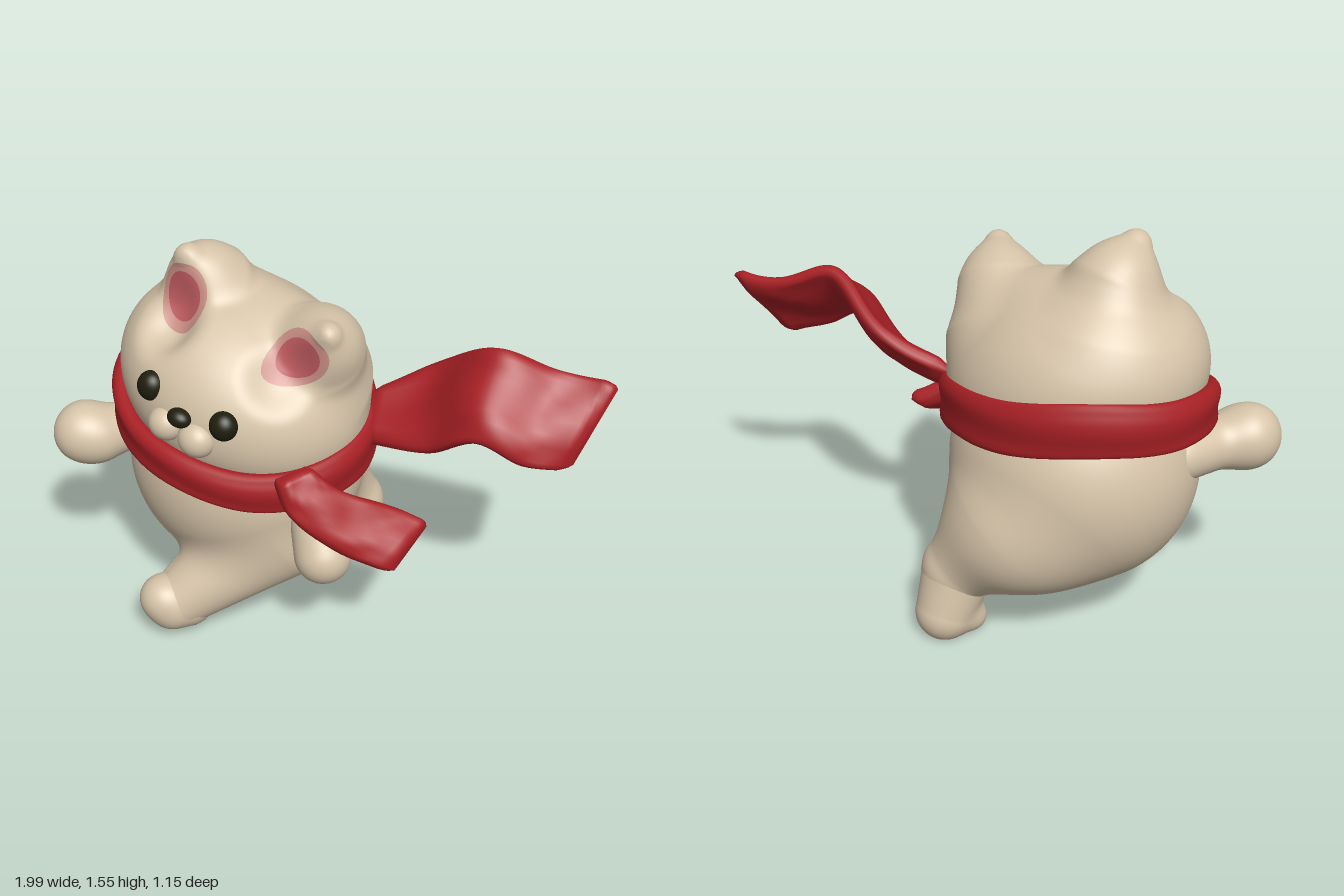
import * as THREE from 'three';
import { mergeVertices } from 'three/addons/utils/BufferGeometryUtils.js';

const material = (name, color, side = THREE.FrontSide) => {
  const m = new THREE.MeshStandardMaterial({ color, side });
  m.name = name;
  return m;
};

// Distance helpers for soft, blended forms
const ball = (c, r) => (x, y, z) =>
  (Math.hypot((x - c[0]) / r[0], (y - c[1]) / r[1], (z - c[2]) / r[2]) - 1) * Math.min(...r);

const limb = (a, ra, b, rb) => {
  const d = [b[0] - a[0], b[1] - a[1], b[2] - a[2]];
  const len2 = d[0] * d[0] + d[1] * d[1] + d[2] * d[2];
  return (x, y, z) => {
    const p = x - a[0], q = y - a[1], r = z - a[2];
    const h = Math.min(1, Math.max(0, (p * d[0] + q * d[1] + r * d[2]) / len2));
    return Math.hypot(p - d[0] * h, q - d[1] * h, r - d[2] * h) - (ra + (rb - ra) * h);
  };
};

const smin = (a, b, k) => {
  const h = Math.max(k - Math.abs(a - b), 0) / k;
  return Math.min(a, b) - h * h * k * 0.25;
};

const blend = (k, ...parts) => (x, y, z) => {
  let d = parts[0](x, y, z);
  for (let i = 1; i < parts.length; i++) d = smin(d, parts[i](x, y, z), k);
  return d;
};

// Distance along a ray, measured from far outside, where it meets the form
function hit(form, o, d, far) {
  let t = far;
  while (t > 0.01 && form(o[0] + d[0] * t, o[1] + d[1] * t, o[2] + d[2] * t) > 0) t -= 0.01;
  let lo = t, hi = t + 0.01;
  for (let i = 0; i < 10; i++) {
    const m = (lo + hi) / 2;
    if (form(o[0] + d[0] * m, o[1] + d[1] * m, o[2] + d[2] * m) > 0) hi = m; else lo = m;
  }
  return lo;
}

// Sphere whose vertices are pulled onto a form
function softGeometry(form, centre, detail, far) {
  let g = new THREE.IcosahedronGeometry(1, detail);
  g.deleteAttribute('uv');
  g.deleteAttribute('normal');
  g = mergeVertices(g, 1e-4);
  const p = g.attributes.position;
  for (let i = 0; i < p.count; i++) {
    const v = new THREE.Vector3().fromBufferAttribute(p, i).normalize();
    const t = hit(form, centre, [v.x, v.y, v.z], far);
    p.setXYZ(i, centre[0] + v.x * t, centre[1] + v.y * t, centre[2] + v.z * t);
  }
  g.computeVertexNormals();
  return g;
}

// Oval patch laid on the front of a form
function patchGeometry(form, cx, cy, rx, ry, turn, inner, lift) {
  const g = new THREE.RingGeometry(inner, 1, 32, 8);
  g.scale(rx, ry, 1);
  g.rotateZ(turn);
  const p = g.attributes.position;
  for (let i = 0; i < p.count; i++) {
    const x = p.getX(i) + cx, y = p.getY(i) + cy;
    p.setXYZ(i, x, y, Math.max(0.11, hit(form, [x, y, 0], [0, 0, 1], 0.8)) + lift);
  }
  g.computeVertexNormals();
  return g;
}

// Padded cloth band stretched between two edge curves
function bandGeometry(edgeA, edgeB, thick, closed, steps, folds) {
  const toCurve = (pts) => new THREE.CatmullRomCurve3(pts.map((p) => new THREE.Vector3(...p)), closed);
  const A = toCurve(edgeA), B = toCurve(edgeB), sides = 24, pos = [], index = [];
  for (let i = 0; i <= steps; i++) {
    const t = i / steps;
    const a = A.getPoint(t), b = B.getPoint(t);
    const mid = a.clone().add(b).multiplyScalar(0.5);
    const w = a.clone().sub(b).multiplyScalar(0.5);
    const along = A.getTangent(t).add(B.getTangent(t));
    const n = new THREE.Vector3().crossVectors(w, along).normalize();
    const end = closed ? 1 : Math.sqrt(Math.min(1, t * 15, (1 - t) * 15));
    for (let j = 0; j < sides; j++) {
      const q = (j / sides) * Math.PI * 2, c = Math.cos(q), s = Math.sin(q);
      const round = (v, e) => Math.sign(v) * Math.abs(v) ** e;
      const ripple = folds * Math.sin(c * 5 + Math.sin(t * Math.PI * 4) * 1.2);
      const out = end * (thick * round(s, 0.6) + ripple);
      const v = mid.clone().addScaledVector(w, round(c, 0.8) * (0.85 + 0.15 * end)).addScaledVector(n, out);
      pos.push(v.x, v.y, v.z);
      if (i < steps) {
        const k = i * sides + j, l = i * sides + ((j + 1) % sides);
        index.push(k, l, k + sides, l, l + sides, k + sides);
      }
    }
  }
  let g = new THREE.BufferGeometry();
  g.setAttribute('position', new THREE.Float32BufferAttribute(pos, 3));
  g.setIndex(index);
  if (closed) g = mergeVertices(g, 1e-4);
  g.computeVertexNormals();
  return g;
}

export function createModel() {
  const model = new THREE.Group();
  const fur = material('cream fur', 0xd6c4a9);
  const red = material('red cloth', 0xa82025, THREE.DoubleSide);
  const dark = material('dark eyes', 0x201e0d);
  const pink = material('ear pink', 0xbd5a5e);
  const blush = material('ear blush', 0xc98f85);
  const add = (name, geometry, mat) => {
    const mesh = new THREE.Mesh(geometry, mat);
    mesh.name = name;
    model.add(mesh);
    return mesh;
  };

  // Head: tilted skull and crown, two triangular ears with hollow fronts
  const skullBall = ball([-0.34, 1.0, 0.02], [0.495, 0.38, 0.44]);
  const skull = (x, y, z) => skullBall(x, y + 0.16 * (x + 0.34), z);
  const rounded = blend(0.08, skull,
    limb([-0.4, 1.22, -0.03], 0.15, [-0.08, 1.19, -0.03], 0.16),
    limb([-0.5, 1.19, -0.04], 0.22, [-0.495, 1.375, 0.03], 0.145),
    limb([-0.495, 1.375, 0.03], 0.145, [-0.516, 1.505, 0.115], 0.045),
    limb([-0.06, 1.11, -0.04], 0.21, [0.02, 1.25, 0.03], 0.135),
    limb([0.02, 1.25, 0.03], 0.135, [0.092, 1.36, 0.115], 0.045));
  const hollows = [ball([-0.5, 1.38, 0.29], [0.11, 0.15, 0.12]), ball([0.01, 1.26, 0.29], [0.12, 0.13, 0.12])];
  const head = (x, y, z) => {
    let d = rounded(x, y, z);
    for (const h of hollows) d = -smin(-d, h(x, y, z), 0.08);
    return d;
  };
  add('head', softGeometry(head, [-0.32, 1.02, 0], 48, 0.85), fur);

  // Inner ears
  for (const [side, x, y, rx, ry, turn] of [
    ['right', -0.498, 1.375, 0.074, 0.092, 0.1], ['left', 0.0, 1.262, 0.09, 0.074, 0.5]]) {
    add(side + 'InnerEar', patchGeometry(head, x, y, rx, ry, turn, 0.01, 0.006), pink);
    add(side + 'EarBlush', patchGeometry(head, x, y, rx * 1.36, ry * 1.36, turn, 0.7, 0.004), blush);
  }

  // Face
  const oval = (name, c, r, mat, turn = 0) => {
    const mesh = add(name, new THREE.SphereGeometry(1, 32, 20), mat);
    mesh.position.set(...c);
    mesh.scale.set(...r);
    mesh.rotation.z = turn;
  };
  oval('rightEye', [-0.48, 1.12, 0.415], [0.054, 0.06, 0.05], dark, -0.3);
  oval('leftEye', [-0.16, 1.055, 0.415], [0.054, 0.057, 0.05], dark, -0.2);
  oval('nose', [-0.32, 1.062, 0.465], [0.047, 0.035, 0.038], dark, -0.15);
  oval('rightMuzzle', [-0.4, 1.0, 0.44], [0.07, 0.066, 0.065], fur);
  oval('leftMuzzle', [-0.265, 0.975, 0.44], [0.073, 0.07, 0.065], fur);

  // Body flowing into both thighs
  const body = blend(0.1,
    ball([-0.355, 0.65, 0], [0.475, 0.475, 0.455]),
    ball([-0.31, 0.46, -0.22], [0.29, 0.27, 0.3]),
    limb([-0.13, 0.4, 0.13], 0.19, [-0.4, 0.16, 0.42], 0.122),
    limb([-0.26, 0.46, -0.27], 0.21, [-0.105, 0.25, -0.385], 0.14));
  add('body', softGeometry(body, [-0.32, 0.5, 0], 48, 0.9), fur);

  // Raised front foot
  add('rightFoot', softGeometry(blend(0.05,
    limb([-0.39, 0.15, 0.41], 0.12, [-0.42, 0.15, 0.46], 0.105),
    limb([-0.42, 0.13, 0.46], 0.085, [-0.45, 0.18, 0.49], 0.085)), [-0.41, 0.15, 0.45], 14, 0.4), fur);

  // Planted back foot with flat sole and toes
  const softFoot = blend(0.04,
    limb([-0.105, 0.25, -0.385], 0.138, [-0.095, 0.085, -0.457], 0.113),
    ...[-0.175, -0.115, -0.05].map((x) => ball([x, 0.05, -0.38], [0.042, 0.055, 0.055])));
  add('leftFoot', softGeometry((x, y, z) => Math.max(softFoot(x, y, z), -y), [-0.1, 0.12, -0.43], 18, 0.4), fur);

  // Arms
  add('rightArm', softGeometry(blend(0.06,
    limb([-0.74, 0.74, 0.1], 0.1, [-0.82, 0.735, 0.34], 0.1),
    ball([-0.88, 0.75, 0.37], [0.118, 0.125, 0.125])), [-0.83, 0.75, 0.28], 16, 0.5), fur);
  add('leftArm', softGeometry(limb([0.04, 0.7, 0.14], 0.1, [0.15, 0.48, 0.24], 0.11),
    [0.1, 0.58, 0.19], 16, 0.4), fur);

  // Scarf: tilted neck band, taller at the back, and two loose ends
  const ring = (up) => Array.from({ length: 24 }, (_, i) => {
    const q = (i / 24) * Math.PI * 2;
    const x = Math.cos(q) * 0.5, z = Math.sin(q) * 0.435;
    const wave = 0.006 * Math.sin(q * 5);
    return [x - 0.345, 0.88 - 0.16 * x - 0.16 * z + up * (1 - 0.15 * Math.sin(q)) + wave, z + 0.023];
  });
  add('scarfBand', bandGeometry(ring(0.095), ring(-0.087), 0.033, true, 120, 0.005), red);
  add('scarfFlyingEnd', bandGeometry(
    [[0.07, 0.94, -0.2], [0.3, 1.08, -0.33], [0.57, 1.25, -0.3], [0.78, 1.18, -0.385], [0.998, 1.185, -0.42]],
    [[0.1, 0.81, -0.07], [0.4, 0.865, -0.07], [0.62, 1.0, -0.045], [0.78, 0.93, -0.1], [0.915, 0.885, -0.22]],
    0.038, false, 60, 0.008), red);
  add('scarfHangingEnd', bandGeometry(
    [[0.09, 0.88, 0.25], [0.2, 0.79, 0.21], [0.34, 0.69, 0.08], [0.475, 0.615, 0.005]],
    [[0.02, 0.86, 0.37], [0.09, 0.74, 0.385], [0.25, 0.61, 0.33], [0.44, 0.5, 0.22]],
    0.046, false, 40, 0.006), red);

  return model;
}
